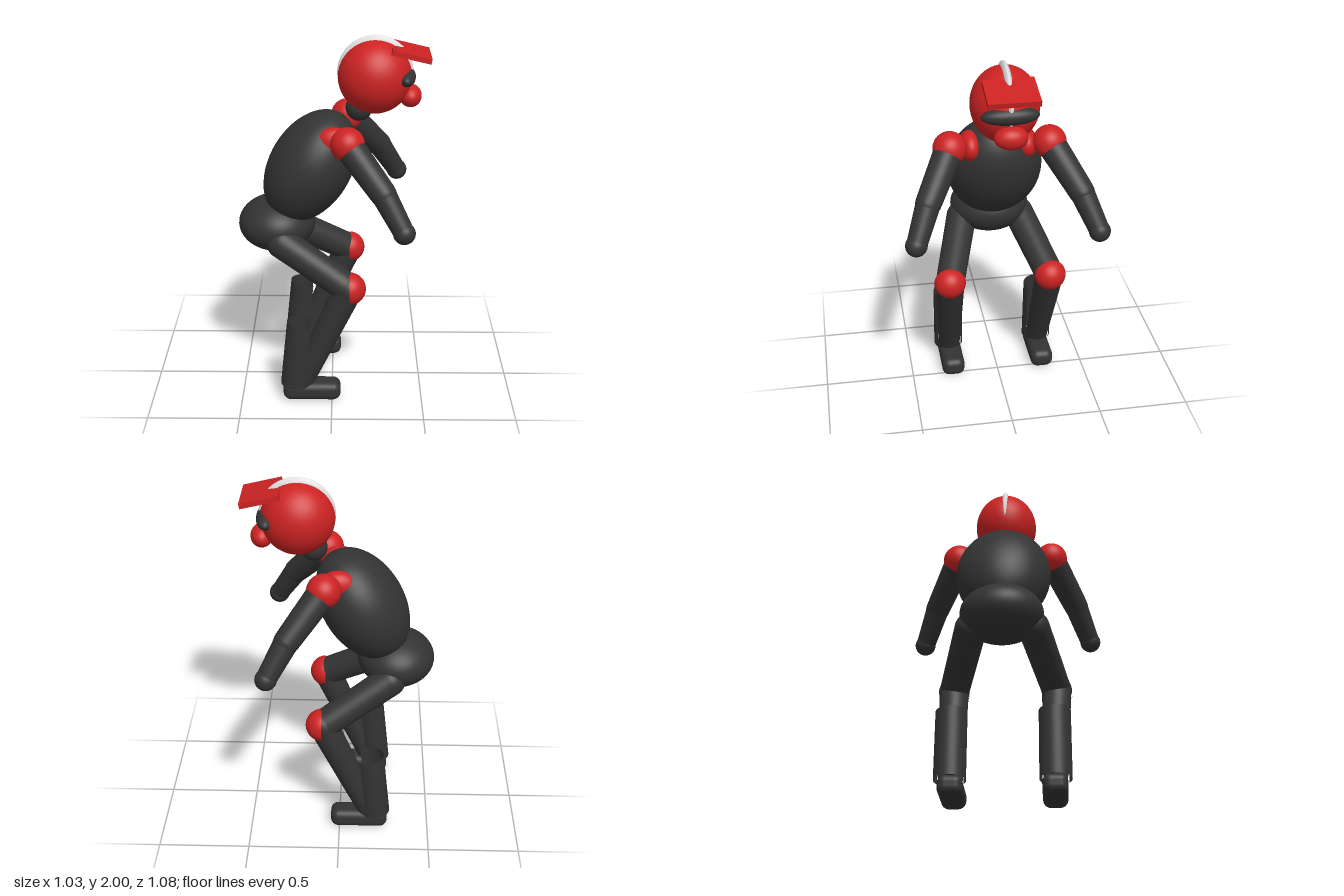
import * as THREE from 'three';
import { RoundedBoxGeometry } from 'three/addons/geometries/RoundedBoxGeometry.js';

const mat = (name, color, side = THREE.FrontSide) => {
  const m = new THREE.MeshStandardMaterial({ color, side });
  m.name = name;
  return m;
};

export function createModel() {
  const red = mat('red', 0xcc2222);
  const dark = mat('charcoal', 0x333333, THREE.DoubleSide);
  const pale = mat('pale grey', 0xdddddd);
  const model = new THREE.Group();
  model.name = 'crouchingFigure';

  const add = (parent, name, geometry, material, pos) => {
    const mesh = new THREE.Mesh(geometry, material);
    mesh.name = name;
    mesh.position.set(...pos);
    parent.add(mesh);
    return mesh;
  };
  const ellipsoid = (parent, name, material, pos, radii) =>
    add(parent, name, new THREE.SphereGeometry(1, 48, 32).scale(...radii), material, pos);
  // Tapered limb between two points
  const limb = (parent, name, a, b, ra, rb) => {
    const p = new THREE.Vector3(...a), q = new THREE.Vector3(...b);
    const d = q.clone().sub(p);
    const mesh = add(parent, name, new THREE.CylinderGeometry(rb, ra, d.length(), 32), dark,
      p.clone().add(q).multiplyScalar(0.5).toArray());
    mesh.quaternion.setFromUnitVectors(new THREE.Vector3(0, 1, 0), d.normalize());
    return mesh;
  };
  const ball = (parent, name, material, pos, r) => ellipsoid(parent, name, material, pos, [r, r, r]);

  // Trunk
  ellipsoid(model, 'torso', dark, [-0.12, 1.28, 0], [0.222, 0.335, 0.26]).rotation.z = -0.53;
  ellipsoid(model, 'pelvis', dark, [-0.305, 0.955, 0], [0.21, 0.15, 0.222]);
  ball(model, 'neckBase', dark, [0.14, 1.61, 0], 0.071);
  limb(model, 'neck', [0.14, 1.61, 0], [0.19, 1.72, 0], 0.071, 0.071);

  // Head
  const head = new THREE.Group();
  head.name = 'head';
  model.add(head);
  ellipsoid(head, 'skull', red, [0.222, 1.78, 0], [0.195, 0.197, 0.177]);
  ellipsoid(head, 'crest', pale, [0.224, 1.8, 0], [0.2, 0.2, 0.04]);
  ellipsoid(head, 'goggles', dark, [0.383, 1.783, 0], [0.053, 0.047, 0.147]);
  ellipsoid(head, 'mouthGuard', red, [0.41, 1.677, 0], [0.06, 0.06, 0.086]);
  add(head, 'visor', new THREE.BoxGeometry(0.208, 0.028, 0.26), red, [0.407, 1.913, 0]).rotation.z = -0.23;

  for (const s of [1, -1]) {
    // Arm
    const arm = new THREE.Group();
    arm.name = s > 0 ? 'leftArm' : 'rightArm';
    model.add(arm);
    const shoulder = [0.08, 1.49, s * 0.265];
    const elbow = [0.265, 1.27, s * 0.405];
    const wrist = [0.37, 1.09, s * 0.482];
    ellipsoid(arm, 'shoulderPatch', red, [0.01, 1.465, s * 0.15], [0.1, 0.08, 0.06]);
    ball(arm, 'shoulder', red, shoulder, 0.09);
    limb(arm, 'upperArm', shoulder, elbow, 0.078, 0.068);
    ball(arm, 'elbow', dark, elbow, 0.067);
    limb(arm, 'forearm', elbow, wrist, 0.065, 0.054);
    ball(arm, 'hand', dark, wrist, 0.058);

    // Leg
    const leg = new THREE.Group();
    leg.name = s > 0 ? 'leftLeg' : 'rightLeg';
    model.add(leg);
    const hip = [-0.27, 0.895, s * 0.165];
    const knee = [0.09, 0.68, s * 0.28];
    const ankle = [-0.17, 0.09, s * 0.265];
    ball(leg, 'hip', dark, hip, 0.085);
    limb(leg, 'thigh', hip, knee, 0.085, 0.08);
    ball(leg, 'knee', dark, knee, 0.083);
    limb(leg, 'shin', knee, ankle, 0.08, 0.062);

    // Half-dome pad on the front of the knee
    const dome = new THREE.SphereGeometry(0.088, 32, 16, 0, Math.PI * 2, 0, Math.PI / 2).rotateZ(-Math.PI / 2);
    add(leg, 'kneePad', dome, red, [0.095, 0.68, s * 0.282]);

    // Open curved shell behind the calf
    const arc = Math.PI * 1.4;
    const shell = new THREE.CylinderGeometry(0.083, 0.083, 0.38, 40, 1, true, -Math.PI / 2 - arc / 2, arc);
    add(leg, 'calfGuard', shell, dark, [-0.182, 0.277, s * 0.267]).rotation.z = -0.1;

    add(leg, 'foot', new RoundedBoxGeometry(0.318, 0.107, 0.13, 6, 0.042), dark, [-0.111, 0.0535, s * 0.263]);
  }
  return model;
}
